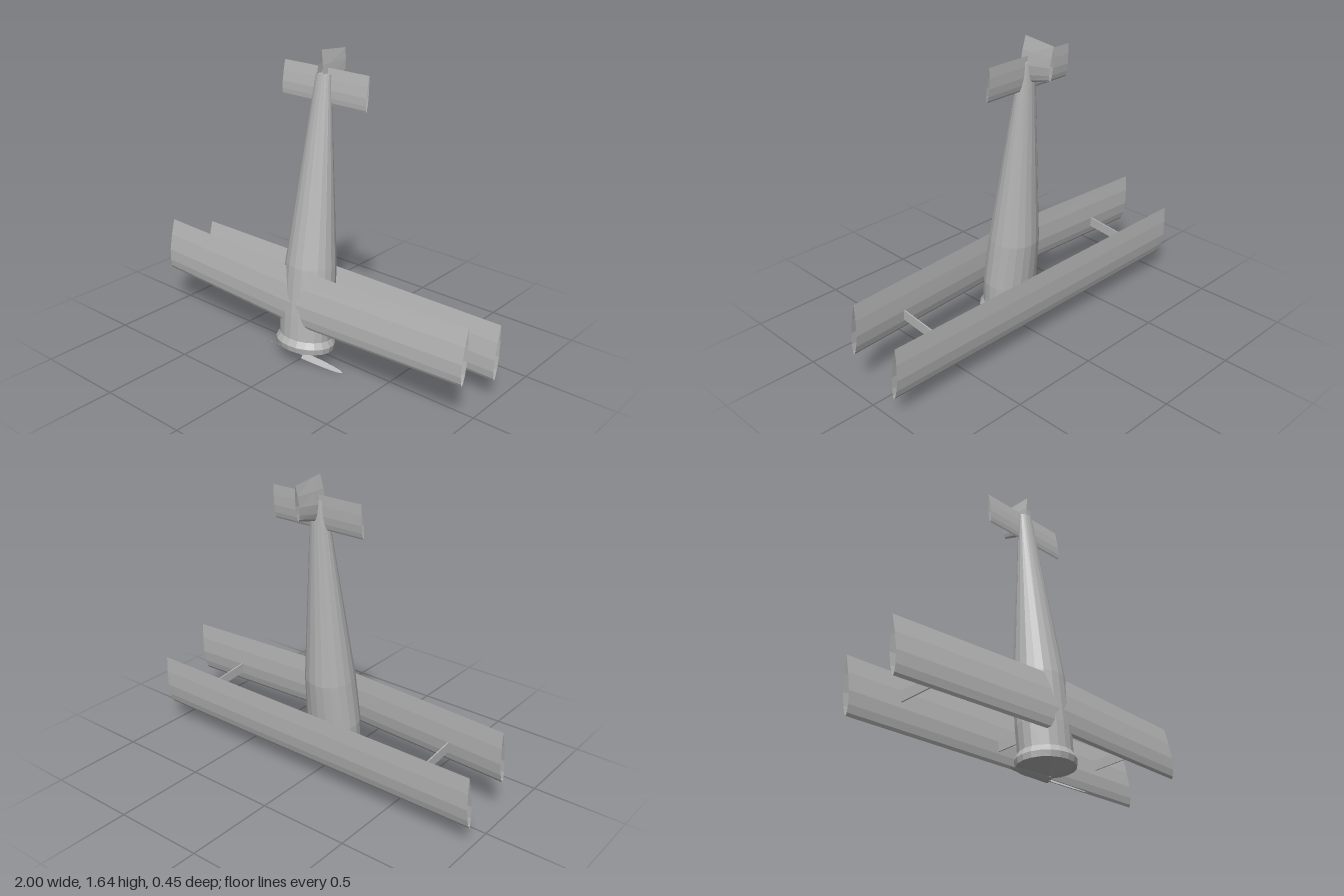
import * as THREE from 'three';

const grey = new THREE.MeshStandardMaterial({ color: 0xb6b6b6, flatShading: true, side: THREE.DoubleSide });
grey.name = 'grey';

// Skin a list of closed rings of [x, y, z] points, each with the same count
function loft(rings) {
  const n = rings[0].length, index = [];
  for (let i = 0; i < rings.length - 1; i++) {
    for (let j = 0; j < n; j++) {
      const a = i * n + j, b = i * n + (j + 1) % n;
      index.push(a, b, a + n, b, b + n, a + n);
    }
  }
  const g = new THREE.BufferGeometry();
  g.setAttribute('position', new THREE.Float32BufferAttribute(rings.flat(2), 3));
  g.setIndex(index);
  g.computeVertexNormals();
  return g;
}

// Lens section as [along chord 0..1, sideways offset] pairs
const side = [[0.05, 0.4], [0.18, 0.8], [0.4, 1], [0.7, 0.65]];
const lens = [[0, 0], ...side.map(([t, s]) => [t, -s]), [1, 0], ...side.slice().reverse()];

// Wing section in the y-z plane from leading (bottom) to trailing (top) edge
const wingRing = (x, [y0, z0], [y1, z1], half) =>
  lens.map(([t, s]) => [x, y0 + (y1 - y0) * t, z0 + (z1 - z0) * t + s * half]);

// Fin section: leading edge low, thickness across x
const finRing = ([y0, z0], [y1, z1], half) =>
  lens.map(([t, s]) => [s * half, y0 + (y1 - y0) * t, z0 + (z1 - z0) * t]);

// Fuselage ring, slanted with the nose-down pitch
function bodyRing(y, zBack, zFront, halfWidth, sides = 20) {
  const c = (zBack + zFront) / 2, d = (zFront - zBack) / 2;
  return Array.from({ length: sides }, (_, j) => {
    const a = (j / sides) * Math.PI * 2, dz = Math.cos(a) * d;
    return [Math.sin(a) * halfWidth, y + dz * 0.105, c + dz];
  });
}

export function createModel() {
  const model = new THREE.Group();
  model.name = 'biplane';
  const add = (name, geometry) => {
    const m = new THREE.Mesh(geometry, grey);
    m.name = name;
    model.add(m);
    return m;
  };

  // Nose cone, cowling, body and closed tail end
  add('noseCone', loft([bodyRing(0.037, 0.104, 0.105, 0.0005), bodyRing(0.085, -0.05, 0.22, 0.162)]));
  add('cowling', loft([
    bodyRing(0.085, -0.05, 0.22, 0.162),
    bodyRing(0.115, -0.06, 0.225, 0.166),
    bodyRing(0.148, -0.048, 0.206, 0.148),
  ]));
  add('fuselage', loft([
    bodyRing(0.148, -0.048, 0.206, 0.148),
    bodyRing(0.28, -0.06, 0.195, 0.153),
    bodyRing(0.54, -0.09, 0.165, 0.137),
    bodyRing(1.525, -0.087, -0.03, 0.043),
    bodyRing(1.525, -0.059, -0.058, 0.0005),
  ]));

  // Lower wing with dihedral, and straight upper wing
  add('lowerWing', loft([
    wingRing(-1, [0.24, 0.124], [0.532, 0.094], 0.021),
    wingRing(0, [0.237, 0.178], [0.538, 0.147], 0.021),
    wingRing(1, [0.24, 0.124], [0.532, 0.094], 0.021),
  ]));
  add('upperWing', loft([-1, 1].map(x => wingRing(x, [0.135, -0.171], [0.428, -0.201], 0.02))));

  // Tail surfaces
  add('tailplane', loft([-0.27, 0.27].map(x => wingRing(x, [1.375, -0.056], [1.552, -0.075], 0.009))));
  add('fin', loft([
    finRing([1.405, -0.02], [1.644, -0.043], 0.022),
    finRing([1.42, -0.09], [1.638, -0.105], 0.02),
    finRing([1.448, -0.204], [1.626, -0.226], 0.012),
  ]));

  // Struts between the wings
  const pitch = 0.104;
  for (const s of [-1, 1]) {
    const outer = add('wingStrut', new THREE.BoxGeometry(0.007, 0.054, 0.285));
    outer.position.set(s * 0.7, 0.322, -0.04);
    outer.rotation.x = -pitch;
    const inner = add('cabaneStrut', new THREE.BoxGeometry(0.007, 0.056, 0.15));
    inner.position.set(s * 0.07, 0.235, -0.095);
    inner.rotation.x = -pitch;
  }

  // Windscreen ahead of the cockpit
  const screen = add('windscreen', new THREE.BoxGeometry(0.11, 0.004, 0.06));
  screen.position.set(0, 0.275, -0.062);
  screen.rotation.x = -pitch;

  // Two thin tapered blades, pitched in opposite directions
  for (const s of [-1, 1]) {
    const profile = [0, 0.15, 0.35, 0.55, 0.75, 0.9, 1].map(t =>
      new THREE.Vector2(0.019 * Math.sqrt(1 - t * t) + 0.0002, t * 0.278));
    const blade = new THREE.LatheGeometry(profile, 8);
    blade.scale(1, 1, 0.12);
    blade.rotateY(Math.PI / 2);
    blade.rotateZ(-s * Math.PI / 2);
    blade.rotateX(s * 0.62);
    add('propellerBlade', blade).position.set(0, 0.019, 0.106);
  }
  const hub = add('propellerHub', new THREE.CylinderGeometry(0.005, 0.005, 0.03, 8));
  hub.position.set(0, 0.03, 0.106);

  return model;
}
